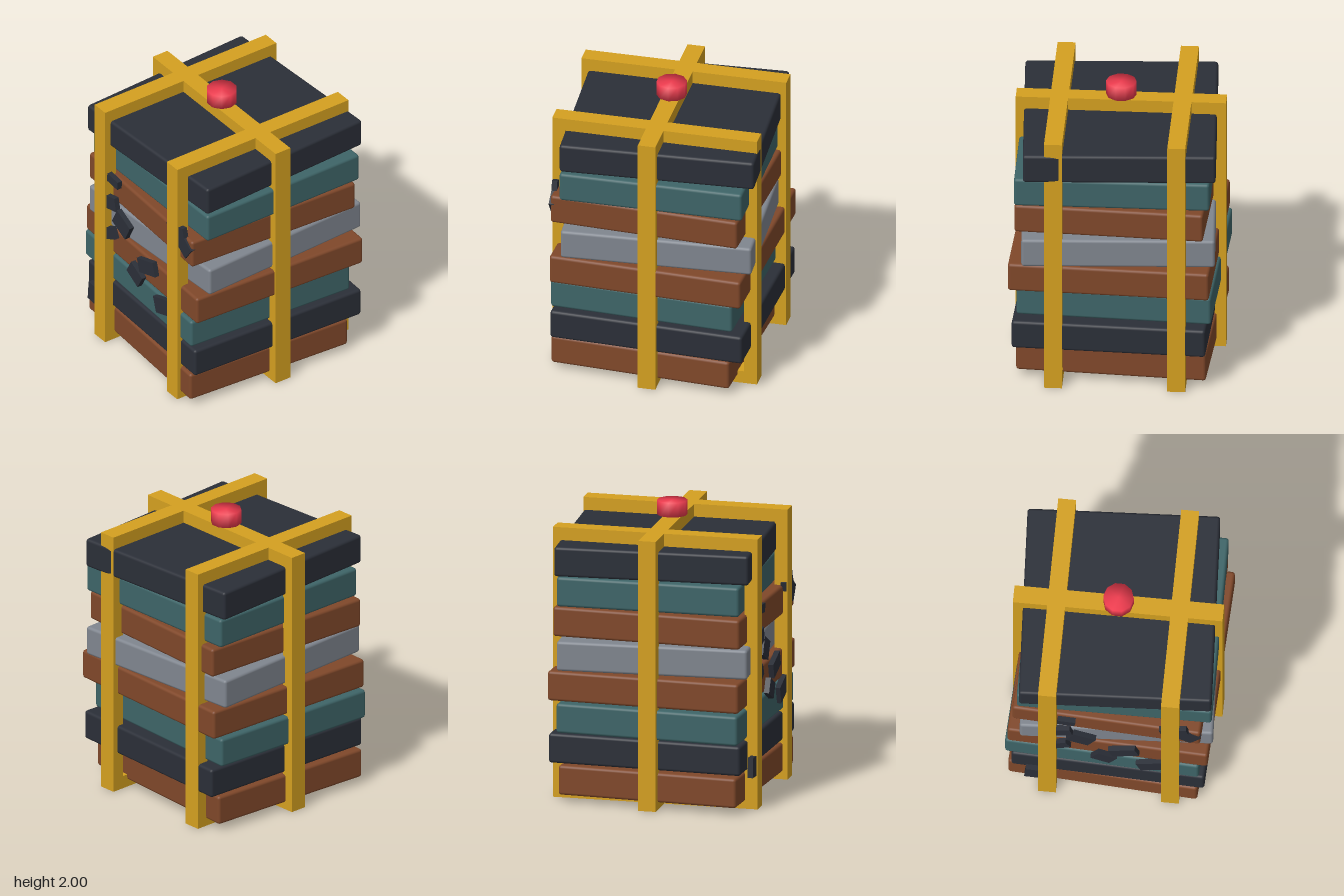
import * as THREE from 'three';
import { RoundedBoxGeometry } from 'three/addons/geometries/RoundedBoxGeometry.js';
import { mergeVertices } from 'three/addons/utils/BufferGeometryUtils.js';

const mat = (color) => new THREE.MeshStandardMaterial({ color });
const dark = mat(0x2b2f38), teal = mat(0x3e6568), brown = mat(0x80482a);
const grey = mat(0x80868f), gold = mat(0xd4a020), red = mat(0xee3b4e);

function add(parent, name, geometry, material, x, y, z) {
  const mesh = new THREE.Mesh(geometry, material);
  mesh.name = name;
  mesh.position.set(x, y, z);
  parent.add(mesh);
  return mesh;
}

// Rectangular strap loop lying in the xy plane, centred on its own axis
function strapLoop(name) {
  const size = 1.425, height = 1.885, width = 0.122, t = 0.09;
  const rect = (P, w, h) => {
    const p = new P();
    p.moveTo(-w / 2, -h / 2).lineTo(w / 2, -h / 2).lineTo(w / 2, h / 2).lineTo(-w / 2, h / 2).closePath();
    return p;
  };
  const shape = rect(THREE.Shape, size, height);
  shape.holes.push(rect(THREE.Path, size - 2 * t, height - 2 * t));
  const geo = new THREE.ExtrudeGeometry(shape, { depth: width, bevelEnabled: false });
  geo.translate(0, height / 2, -width / 2);
  const mesh = new THREE.Mesh(geo, gold);
  mesh.name = name;
  return mesh;
}

export function createModel() {
  const model = new THREE.Group();
  model.name = 'strappedStack';

  // Slabs, bottom to top: material, front face x range, right face z range, twist
  const slabs = [
    [brown, -0.705, 0.59, 0.70, -0.56, -0.062],
    [dark, -0.68, 0.637, 0.695, -0.655, -0.04],
    [teal, -0.725, 0.60, 0.70, -0.58, -0.05],
    [brown, -0.708, 0.66, 0.695, -0.65, -0.043],
    [grey, -0.62, 0.69, 0.61, -0.705, 0.052],
    [brown, -0.675, 0.61, 0.70, -0.618, -0.05],
    [teal, -0.645, 0.68, 0.62, -0.65, 0.004],
    [dark, -0.625, 0.68, 0.62, -0.72, 0.052],
  ];
  slabs.forEach(([material, xl, xr, zf, zb, s], i) => {
    const w = xr - xl, d = zf - zb;
    const slab = add(model, 'slab' + (i + 1), new RoundedBoxGeometry(w, 0.206, d, 2, 0.02), material,
      (xl + xr - d * s) / 2, 0.153 + i * 0.22, (zf + zb + w * s) / 2);
    slab.rotation.y = s;
  });

  // Straps: two front-to-back loops and one side-to-side loop
  const cx = -0.012, cz = 0.006;
  for (const side of [-1, 1]) {
    const loop = strapLoop(side < 0 ? 'rightStrap' : 'leftStrap');
    loop.rotation.y = Math.PI / 2;
    loop.position.set(cx + side * 0.418, 0, cz);
    model.add(loop);
  }
  const cross = strapLoop('crossStrap');
  cross.position.set(cx, 0, cz);
  model.add(cross);

  // Small loose plates on the front: x, y, width, height, tilt
  const plates = [
    [-0.30, 1.355, 0.12, 0.062, -0.1],
    [-0.335, 1.16, 0.14, 0.10, 0.22],
    [-0.20, 1.055, 0.165, 0.13, -0.45],
    [-0.345, 0.905, 0.13, 0.085, 0.45],
    [0.09, 0.867, 0.19, 0.105, 0.3],
    [-0.045, 0.735, 0.145, 0.11, -0.5],
    [0.318, 0.663, 0.27, 0.12, 0.3],
    [0.435, 1.345, 0.19, 0.11, 0.25],
    [0.53, 1.28, 0.12, 0.12, 0.95],
    [-0.515, 0.305, 0.13, 0.14, -0.08],
  ];
  const platesGroup = new THREE.Group();
  platesGroup.name = 'frontPlates';
  plates.forEach(([x, y, w, h, tilt], i) => {
    add(platesGroup, 'plate' + (i + 1), new THREE.BoxGeometry(w, h, 0.037), dark, x, y, 0.691).rotation.z = tilt;
  });
  model.add(platesGroup);

  // Ten-sided button above the strap crossing, softly shaded over its edges
  let button = new THREE.CylinderGeometry(0.104, 0.104, 0.1, 10);
  button.deleteAttribute('normal');
  button.deleteAttribute('uv');
  button = mergeVertices(button);
  button.rotateY(Math.PI / 2);
  button.computeVertexNormals();
  add(model, 'topButton', button, red, cx, 1.95, 0.004);

  return model;
}
